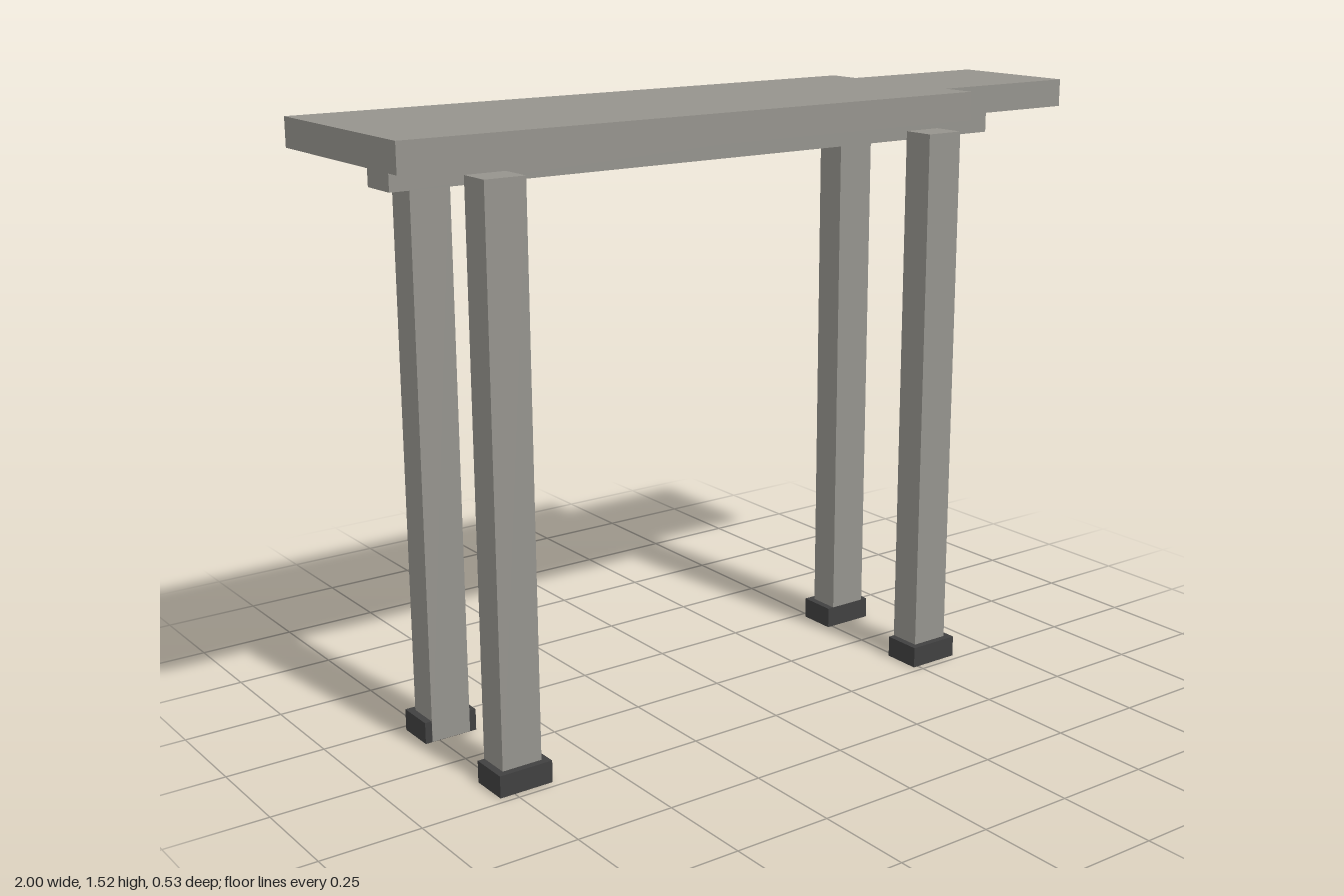
import * as THREE from 'three';

export function createModel() {
  const model = new THREE.Group();
  model.name = 'bench';
  const grey = new THREE.MeshStandardMaterial({ color: 0x95938d });
  grey.name = 'warm grey';
  const dark = new THREE.MeshStandardMaterial({ color: 0x404040 });
  dark.name = 'dark grey';

  // Box given by its extents along each axis
  function box(name, [x0, x1], [y0, y1], [z0, z1], material, parent = model) {
    const mesh = new THREE.Mesh(new THREE.BoxGeometry(x1 - x0, y1 - y0, z1 - z0), material);
    mesh.position.set((x0 + x1) / 2, (y0 + y1) / 2, (z0 + z1) / 2);
    mesh.name = name;
    parent.add(mesh);
  }

  // Top slab, stepping in to a narrower end
  const outline = [[-1, -0.265], [0.59, -0.265], [0.59, -0.175], [1, -0.175],
    [1, 0.175], [0.59, 0.175], [0.59, 0.265], [-1, 0.265]];
  const shape = new THREE.Shape(outline.map(([x, y]) => new THREE.Vector2(x, y)));
  const slab = new THREE.ExtrudeGeometry(shape, { depth: 0.07, bevelEnabled: false });
  slab.rotateX(-Math.PI / 2);
  const top = new THREE.Mesh(slab, grey);
  top.name = 'top';
  top.position.y = 1.455;
  model.add(top);

  // Beam along the underside
  box('beam', [-0.91, 0.855], [1.385, 1.455], [-0.05, 0.05], grey);

  // Four posts standing in dark feet, inner faces almost flush
  for (const x of [-0.718, 0.556]) {
    for (const side of [1, -1]) {
      const leg = new THREE.Group();
      leg.name = `${x < 0 ? 'right' : 'left'}${side > 0 ? 'Front' : 'Back'}Leg`;
      const inset = x > 0 && side < 0 ? 0.129 : 0.127;
      const span = (a, b) => (side > 0 ? [a, b] : [-b, -a]);
      box('post', [x - 0.052, x + 0.052], [0.001, 1.42], span(inset, 0.212), grey, leg);
      box('foot', [x - 0.07, x + 0.07], [0, 0.055], span(0.128, 0.23), dark, leg);
      model.add(leg);
    }
  }
  return model;
}
